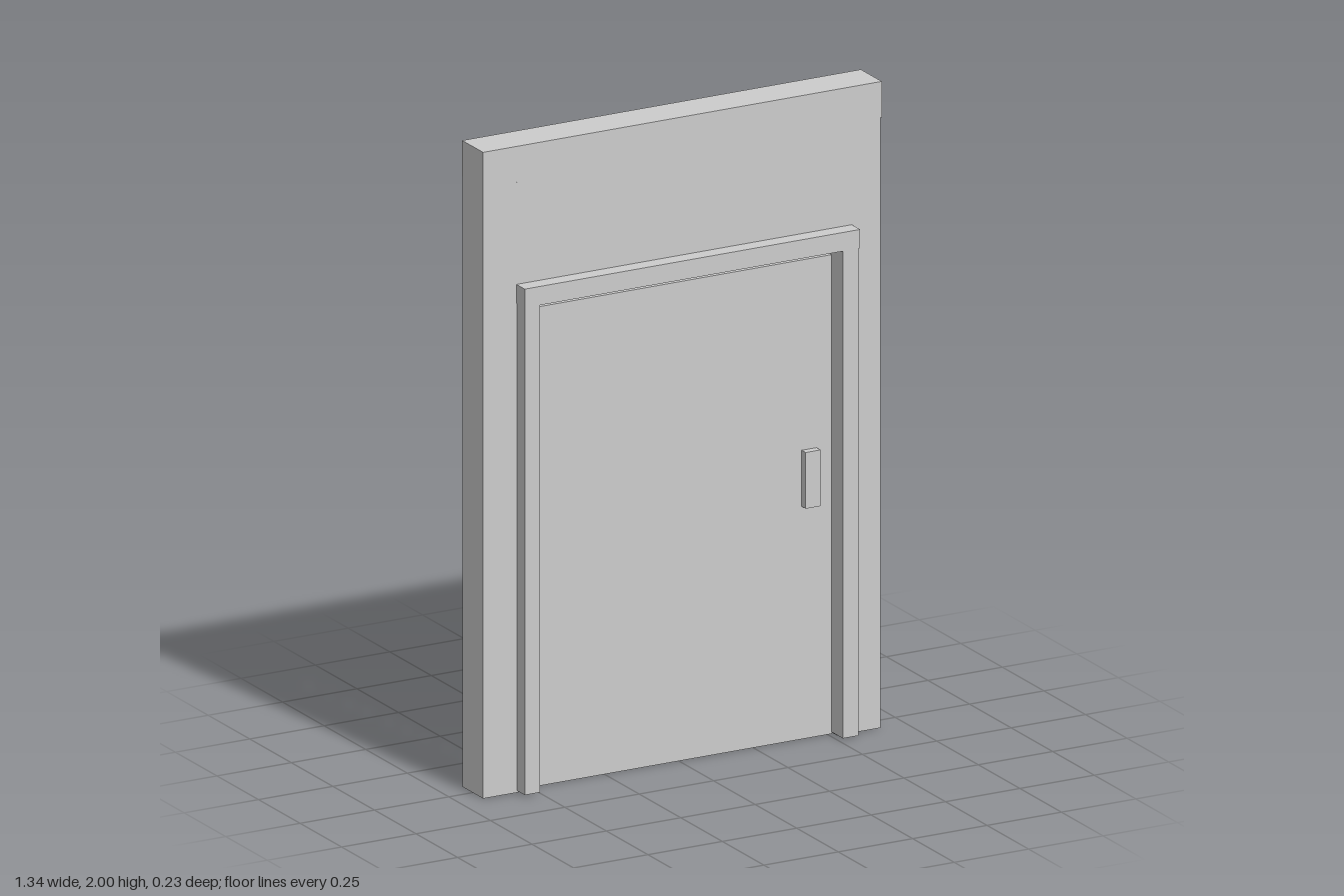
import * as THREE from 'three';

export function createModel() {
  const model = new THREE.Group();
  model.name = 'doorway';
  const grey = new THREE.MeshStandardMaterial({ color: 0xcccccc });
  grey.name = 'plain grey';

  // Box given by its limits along each axis
  function block(name, [x0, x1], [y0, y1], [z0, z1]) {
    const mesh = new THREE.Mesh(new THREE.BoxGeometry(x1 - x0, y1 - y0, z1 - z0), grey);
    mesh.name = name;
    mesh.position.set((x0 + x1) / 2, (y0 + y1) / 2, (z0 + z1) / 2);
    model.add(mesh);
  }

  // Wall around the opening, with a slightly proud beam on top
  const wallZ = [-0.062, 0.063];
  block('rightPier', [-0.67, -0.527], [0, 1.55], wallZ);
  block('leftPier', [0.52, 0.666], [0, 1.55], wallZ);
  block('wallPanel', [-0.67, 0.666], [1.55, 1.889], wallZ);
  block('topBeam', [-0.67, 0.67], [1.889, 2], [-0.063, 0.063]);

  // Door frame, running through the wall
  const jambY = [0.006, 1.515], jambZ = [-0.106, 0.11];
  block('rightJamb', [-0.556, -0.505], jambY, jambZ);
  block('leftJamb', [0.513, 0.565], jambY, jambZ);
  block('lintel', [-0.558, 0.569], [1.515, 1.573], [-0.113, 0.113]);

  // Door leaf with a narrow gap at its right and top edges
  block('door', [-0.487, 0.515], [0, 1.483], [-0.041, 0.041]);

  // Handle standing out on both faces
  block('handle', [0.413, 0.463], [0.72, 0.894], [-0.064, 0.065]);

  return model;
}
